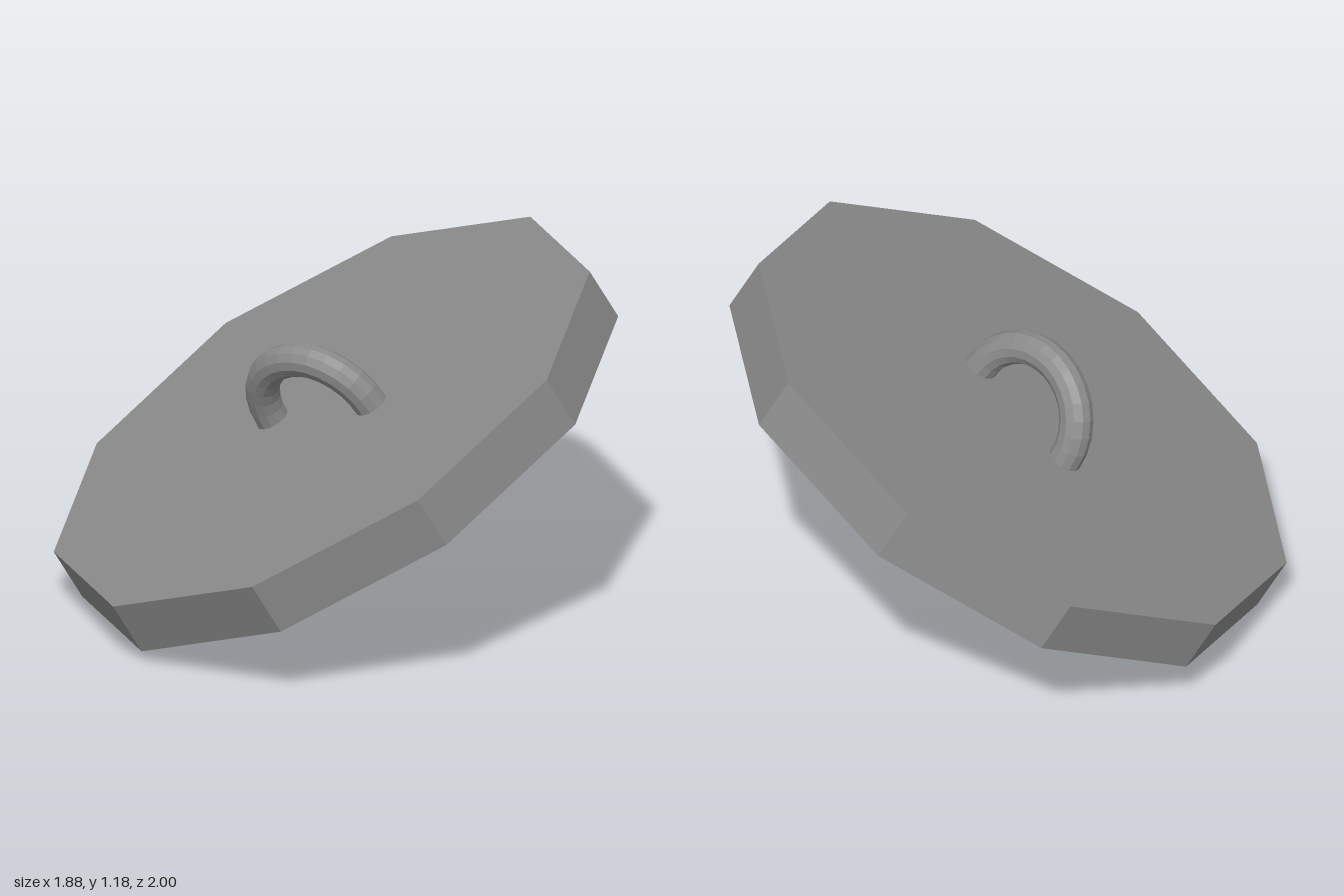
import * as THREE from 'three';

export function createModel() {
  const group = new THREE.Group();
  const material = new THREE.MeshStandardMaterial({ color: 0x8a8a8a, flatShading: true });

  // ten-sided lid: flat top, short skirt, shallow hollow underneath
  const profile = [
    [0, -0.075], [0.95, -0.075], [0.95, -0.195],
    [1.03, -0.195], [1.03, 0], [0, 0],
  ].map(([x, y]) => new THREE.Vector2(x, y));
  const lid = new THREE.Mesh(new THREE.LatheGeometry(profile, 10), material);
  lid.name = 'lid';

  // faceted half-ring handle standing on the middle of the top
  const handle = new THREE.Mesh(new THREE.TorusGeometry(0.225, 0.058, 12, 14, Math.PI), material);
  handle.name = 'handle';
  handle.rotation.y = Math.PI / 2;

  // the whole lid lies tilted, resting on one corner of its rim
  const tilted = new THREE.Group();
  tilted.name = 'tiltedLid';
  const up = new THREE.Vector3(-0.393, 0.865, -0.312).normalize();
  const along = new THREE.Vector3(0, 0.3395, 0.9408).normalize();
  const across = new THREE.Vector3().crossVectors(up, along).normalize();
  along.crossVectors(across, up);
  tilted.quaternion.setFromRotationMatrix(new THREE.Matrix4().makeBasis(across, up, along));
  tilted.position.set(-0.04, 0.675, -0.03);
  tilted.add(lid, handle);
  group.add(tilted);
  return group;
}
